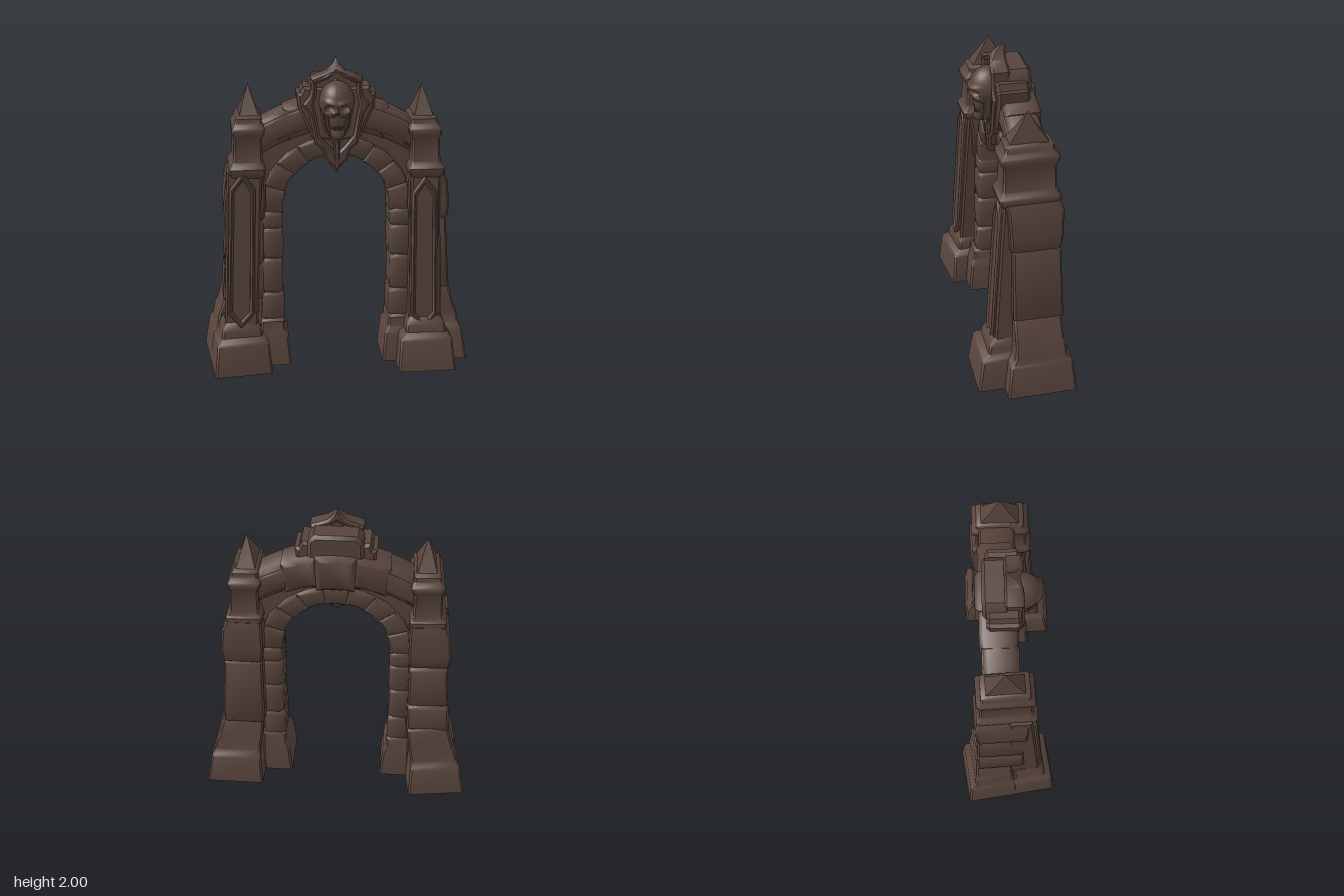
import * as THREE from 'three';
import { toCreasedNormals } from 'three/addons/utils/BufferGeometryUtils.js';

const stone = new THREE.MeshStandardMaterial({ color: 0x58443c, side: THREE.DoubleSide });
stone.name = 'dark stone';

function add(group, name, geo, crease = 0.7) {
  const mesh = new THREE.Mesh(toCreasedNormals(geo, crease), stone);
  mesh.name = name;
  group.add(mesh);
  return mesh;
}

// Skin over chamfered rectangles; each ring is [y, x0, x1, z0, z1]
function loft(rings, { side = 1, chamfer = 0.012, yaw = 0, lift = 0, open = false } = {}) {
  const pos = [], idx = [], n = 8;
  for (const [y, xa, xb, z0, z1] of rings) {
    const x0 = Math.min(side * xa, side * xb), x1 = Math.max(side * xa, side * xb);
    const c = Math.min(chamfer, (x1 - x0) / 4, (z1 - z0) / 4);
    const pts = [[x1, z0 + c], [x1, z1 - c], [x1 - c, z1], [x0 + c, z1],
      [x0, z1 - c], [x0, z0 + c], [x0 + c, z0], [x1 - c, z0]];
    for (const [x, z] of pts) pos.push(x, y + lift * Math.min(1, y), z);
  }
  for (let i = 0; i < rings.length - 1; i++) for (let j = 0; j < n; j++) {
    const a = i * n + j, b = i * n + (j + 1) % n;
    idx.push(a, a + n, b, b, a + n, b + n);
  }
  const top = (rings.length - 1) * n;
  for (let j = 1; j < n - 1; j++) {
    idx.push(top, top + j + 1, top + j);
    if (!open) idx.push(0, j, j + 1);
  }
  const g = new THREE.BufferGeometry();
  g.setAttribute('position', new THREE.Float32BufferAttribute(pos, 3));
  g.setIndex(idx);
  if (yaw) {
    const [, xa, xb, z0, z1] = rings[0];
    const cx = side * (xa + xb) / 2, cz = (z0 + z1) / 2;
    g.translate(-cx, 0, -cz).rotateY(yaw).translate(cx, 0, cz);
  }
  return g;
}

// Bevelled slab from an outline in x, y between two depths
function slab(points, z0, z1, bevel = 0.012, hole) {
  const shape = new THREE.Shape(points.map(p => new THREE.Vector2(...p)));
  if (hole) shape.holes.push(new THREE.Path(hole.map(p => new THREE.Vector2(...p))));
  return new THREE.ExtrudeGeometry(shape, {
    depth: z1 - z0 - 2 * bevel, bevelEnabled: bevel > 0, bevelThickness: bevel,
    bevelSize: bevel, bevelOffset: -bevel, bevelSegments: 1,
  }).translate(0, 0, z0 + bevel);
}

// Closed outline from its right half, listed top to bottom
const mirrored = half => [...half, ...half.filter(p => p[0] > 0).reverse().map(([x, y]) => [-x, y])].reverse();

function makePillar(side) {
  const g = new THREE.Group(), left = side < 0;
  g.name = side > 0 ? 'leftPillar' : 'rightPillar';
  const yaw = left ? 0.13 : 0, turn = left ? 0.04 : 0, lift = left ? 0.02 : 0;

  // Rear plinth, stepped in above a ledge
  const dr = left ? -0.012 : 0, dz = left ? -0.02 : 0;
  add(g, 'rearBase', loft([[0, 0.485, 0.858, -0.283, 0.155], [0.2, 0.495, 0.825, -0.262, 0.13],
    [0.215, 0.5, 0.815, -0.25, 0.12], [0.245, 0.5, 0.803, -0.23, 0.1], [0.32, 0.49, 0.79, -0.222, 0.09],
    [0.345, 0.485, 0.775, -0.213, 0.09], [0.49, 0.47, 0.735, -0.203, 0.09], [0.505, 0.48, 0.72, -0.19, 0.08],
  ].map(([y, a, b, c, d]) => [y, a + dr, b + dr, c + dz, d + dz * 4]), { side, yaw, open: true }));
  // One shaft is a single block, the other stacked stones
  const joints = left ? [0.44, 0.68, 0.98] : [0.48, 0.98];
  const half = y => 0.735 - (y - 0.48) * 0.072;
  for (let i = 0; i < joints.length - 1; i++) {
    const a = joints[i], b = joints[i + 1];
    const ring = (y, k) => [y, 0.46 + k, half(y) - k, -0.218 + (y - 0.48) * 0.04 + k, 0.095 - k];
    add(g, 'rearShaft', loft([ring(a, 0.015), ring(a + 0.02, 0), ring(b - 0.02, 0), ring(b, 0.015)],
      { side, yaw: turn }));
  }
  add(g, 'shoulderBlock', loft([[0.96, 0.46, 0.69, -0.18, 0.09], [0.985, 0.46, 0.71, -0.2, 0.11],
    [1.06, 0.45, 0.715, -0.205, 0.11], [1.22, 0.45, 0.698, -0.212, 0.12], [1.3, 0.46, 0.66, -0.185, 0.14]],
  { side, yaw: turn, lift }));

  // Belted upper block and its cornice
  add(g, 'upperBlock', loft([[1.25, 0.47, 0.65, -0.17, 0.14], [1.28, 0.447, 0.672, -0.197, 0.165],
    [1.31, 0.447, 0.672, -0.197, 0.168], [1.32, 0.452, 0.665, -0.188, 0.16], [1.35, 0.466, 0.645, -0.178, 0.143],
    [1.5, 0.466, 0.638, -0.173, 0.137], [1.525, 0.452, 0.648, -0.19, 0.152], [1.555, 0.447, 0.648, -0.192, 0.152],
    [1.565, 0.45, 0.643, -0.185, 0.147], [1.59, 0.463, 0.63, -0.165, 0.127],
    [1.62, 0.463, 0.622, -0.163, 0.123], [1.635, 0.475, 0.608, -0.14, 0.1]], { side, yaw: turn, lift }));
  add(g, 'spire', loft([[1.62, 0.478, 0.602, -0.145, 0.105], [1.71, 0.507, 0.575, -0.08, 0.04],
    [1.81, 0.539, 0.541, -0.021, -0.019]], { side, yaw: turn, lift, chamfer: 0 }), 0.3);

  // Front buttress on its own plinth
  const dx = left ? 0.055 : 0, df = left ? -0.03 : 0;
  add(g, 'frontBase', loft([[0, 0.385, 0.755, 0.0, 0.322], [0.2, 0.4, 0.732, 0.01, 0.29],
    [0.215, 0.41, 0.722, 0.01, 0.28], [0.24, 0.437, 0.7, 0.02, 0.245],
    [0.29, 0.443, 0.69, 0.02, 0.235], [0.335, 0.465, 0.665, 0.02, 0.205],
  ].map(([y, a, b, c, d]) => [y, a + dx, b + dx, c, d + df * (1 - y * 2)]), { side, yaw, open: true }));
  add(g, 'buttress', loft([[0.3, 0.46 + dx, 0.67 + dx, 0, 0.2], [1.29, 0.465, 0.645 + dx * 0.7, 0, 0.138]],
    { side, yaw: turn, lift }));

  // Pointed panel: sloping rim around a sunken blade
  const hex = inset => mirrored([[0, 0.51 - inset * 1.8], [0.08 - inset, 0.4 - inset * 0.6],
    [0.085 - inset, -0.41 + inset * 0.6], [0, -0.51 + inset * 1.8]]);
  const panel = new THREE.Group();
  panel.name = 'panel';
  add(panel, 'panelRim', slab(hex(0), -0.03, 0.022, 0.012, hex(0.03)));
  add(panel, 'panelBlade', slab(hex(0.016), -0.03, 0.011, 0.014));
  panel.position.set(left ? -0.602 : 0.552, left ? 0.805 : 0.755, 0.171);
  panel.rotation.set(-0.062, turn, left ? -0.035 : 0.008);
  g.add(panel);
  return g;
}

function makeArch() {
  const g = new THREE.Group();
  g.name = 'arch';
  const crown = x => 1.745 - 0.62 * x * x;
  const cuts = [0, 0.08, 0.16, 0.24, 0.32, 0.4, 0.5];
  // Curved block following the crown between two x positions
  const block = (xa, xb, drop, rise) => {
    const xs = [0, 1, 2, 3, 4].map(i => xa + (xb - xa) * i / 4);
    return [...xs.map(x => [x, crown(x) + rise]), ...xs.reverse().map(x => [x * 0.92, crown(x) - drop])];
  };
  for (const side of [1, -1]) {
    add(g, 'innerBase', loft([[0.01, 0.298, 0.49, -0.15, 0.172], [0.2, 0.315, 0.49, -0.14, 0.155],
      [0.24, 0.335, 0.49, -0.125, 0.135], [0.3, 0.338, 0.49, -0.12, 0.13], [0.315, 0.35, 0.49, -0.11, 0.115]],
    { side, open: true }));
    // Stacked jamb stones
    const joints = [0.3, 0.49, 0.72, 0.92, 1.03];
    for (let i = 0; i < 4; i++) {
      const a = joints[i], b = joints[i + 1], k = (i % 2) * 0.006, m = i === 3 ? 0.006 : 0;
      const front = 0.108 - i * 0.008;
      const ring = (y, e) => [y, 0.338 + k - m + e, 0.48 - e / 2, -0.114 - m + e, front + m - e];
      add(g, 'jambStone', loft([ring(a, 0.012), ring(a + 0.02, 0), ring(b - 0.02, 0), ring(b, 0.012)],
        { side, chamfer: 0.02 }), 0.9);
    }
    // Outer arch band and the thinner web below it
    const web = [];
    for (let i = 0; i <= 10; i++) {
      const t = Math.PI / 2 * i / 10;
      web.push([side * 0.455 * Math.cos(t), 1.08 + 0.38 * Math.sin(t)]);
    }
    web.push([0, 1.68], [side * 0.25, 1.62], [side * 0.49, 1.5], [side * 0.49, 1.08]);
    add(g, 'archWeb', slab(web, -0.085, 0.03, 0));
    for (const [u, v, z0, z1, bevel] of [[0, 0.2, -0.142, 0.06, 0.025], [0.035, 0.165, -0.15, 0.068, 0.008]]) {
      const pts = [...cuts.map(x => [side * x, crown(x) - u]),
        ...cuts.slice().reverse().map(x => [side * x, crown(x) - v - 0.05 * x * x])];
      add(g, 'archBand', slab(pts, z0, z1, bevel), 0.9);
    }
    // Slightly proud band stone beside the crown
    add(g, 'bandStone', slab(block(side * 0.11, side * 0.33, 0.2, 0.006), -0.162, 0.06, 0.025), 0.9);
  }
  add(g, 'crownStone', slab(block(-0.125, 0.125, 0.22, 0.012), -0.18, 0.06, 0.025), 0.9);
  // Ring of wedge stones
  const count = 9, at = (t, rx, ry) => [rx * Math.cos(t), 1.02 + ry * Math.abs(Math.sin(t)) ** 0.92];
  for (let i = 0; i < count; i++) {
    const a = Math.PI * i / count, b = Math.PI * (i + 1) / count, m = (a + b) / 2, k = (i % 2) * 0.006;
    const front = 0.085 - 0.025 * Math.sin(m);
    add(g, 'wedgeStone', slab([at(a, 0.338 + k, 0.362 + k), at(a, 0.478, 0.48), at(m, 0.485, 0.485),
      at(b, 0.478, 0.48), at(b, 0.338 + k, 0.362 + k), at(m, 0.342 + k, 0.366 + k)], -0.112, front, 0.012), 0.9);
  }
  return g;
}

function makeSkull() {
  const g = new THREE.Group();
  g.name = 'skull';
  // Head with narrowing face, sockets, nose hollow and brow pushed by rule
  const head = new THREE.SphereGeometry(1, 64, 52);
  const p = head.attributes.position;
  const bump = (x, y, cx, cy, rx, ry) => Math.exp(-((((x - cx) / rx) ** 2 + ((y - cy) / ry) ** 2) ** 2));
  for (let i = 0; i < p.count; i++) {
    let x = p.getX(i) * 0.108, y = p.getY(i) * 0.13, z = p.getZ(i) * 0.12;
    if (y < -0.02) x *= 1 - 2.2 * (-y - 0.02);
    if (z > 0) {
      const ax = Math.abs(x);
      z += 0.014 * bump(ax, y, 0.042, 0.002 + ax * 0.2, 0.05, 0.016);
      z += 0.016 * bump(ax, y, 0.066, -0.062, 0.024, 0.018) + 0.012 * bump(ax, y, 0, -0.035, 0.012, 0.03);
      z -= 0.055 * bump(ax, y, 0.042, -0.026, 0.028, 0.021) + 0.045 * bump(ax, y, 0.007, -0.075, 0.011, 0.018);
    }
    p.setXYZ(i, x, y, z);
  }
  add(g, 'cranium', head, 1.1).position.set(0, 1.73, 0.088);
  add(g, 'upperJaw', loft([[1.592, -0.04, 0.04, 0.08, 0.177], [1.62, -0.05, 0.05, 0.08, 0.184],
    [1.65, -0.056, 0.056, 0.08, 0.18]], { chamfer: 0.028 }), 1);
  add(g, 'lowerJaw', loft([[1.515, -0.024, 0.024, 0.08, 0.178], [1.535, -0.04, 0.04, 0.07, 0.184],
    [1.575, -0.046, 0.046, 0.07, 0.172]], { chamfer: 0.024 }), 1);
  for (const s of [1, -1]) {
    add(g, 'jawSide', loft([[1.53, 0.03, 0.052, 0.07, 0.14], [1.58, 0.045, 0.067, 0.06, 0.14],
      [1.67, 0.058, 0.082, 0.06, 0.13]], { side: s }));
    for (let i = 0; i < 3; i++) for (const y of [1.594, 1.577]) {
      add(g, 'tooth', new THREE.CylinderGeometry(0.006, 0.006, 0.016, 6))
        .position.set(s * (0.0065 + i * 0.0125), y, 0.175 - i * i * 0.005);
    }
  }
  return g;
}

function makeCrest() {
  const g = new THREE.Group();
  g.name = 'crest';
  // Stepped backing stones
  add(g, 'crestWings', slab(mirrored([[0, 1.82], [0.16, 1.82], [0.205, 1.825], [0.22, 1.785], [0.245, 1.78],
    [0.235, 1.69], [0.2, 1.62], [0.15, 1.5], [0, 1.47]]), -0.115, 0.085, 0.018));
  add(g, 'crestTop', slab(mirrored([[0, 1.88], [0.13, 1.88], [0.165, 1.84], [0.17, 1.7], [0, 1.68]]), -0.138, 0.02, 0.02));
  add(g, 'keystone', loft([[1.31, -0.03, 0.03, -0.03, 0.06], [1.36, -0.06, 0.06, -0.08, 0.075],
    [1.5, -0.1, 0.1, -0.11, 0.08]], { chamfer: 0.02 }));

  // Scalloped shield whose peak sweeps backwards
  const outline = mirrored([[0, 2], [0.022, 1.955], [0.06, 1.915], [0.16, 1.878], [0.155, 1.82], [0.165, 1.77],
    [0.207, 1.715], [0.17, 1.66], [0.15, 1.57], [0.135, 1.47], [0.085, 1.43], [0.065, 1.36], [0.025, 1.33], [0, 1.278]]);
  const inner = mirrored([[0, 1.91], [0.05, 1.875], [0.125, 1.845], [0.122, 1.79], [0.14, 1.715],
    [0.125, 1.64], [0.105, 1.52], [0.06, 1.465], [0, 1.4]]);
  const sweep = geo => {
    const p = geo.attributes.position;
    for (let i = 0; i < p.count; i++) {
      const k = Math.max(0, (p.getY(i) - 1.86) / 0.14);
      if (p.getZ(i) > 0) p.setZ(i, p.getZ(i) * (1 - 0.95 * k * k));
    }
    return geo;
  };
  add(g, 'shieldRim', sweep(slab(outline, -0.01, 0.105, 0.014, inner)));
  add(g, 'shieldField', slab(inner, -0.01, 0.07, 0));
  add(g, 'shieldLeaf', slab(mirrored([[0, 1.87], [0.1, 1.8], [0.115, 1.71], [0.09, 1.56],
    [0.05, 1.5], [0, 1.43]]), 0.05, 0.095, 0.02));
  add(g, 'pendant', loft([[1.3, -0.003, 0.003, 0.085, 0.09], [1.38, -0.022, 0.022, 0.05, 0.112],
    [1.47, -0.016, 0.016, 0.05, 0.114], [1.52, -0.005, 0.005, 0.08, 0.1]], { chamfer: 0.03 }));
  g.add(makeSkull());
  return g;
}

export function createModel() {
  const model = new THREE.Group();
  model.name = 'stoneGateway';
  model.add(makePillar(1), makePillar(-1), makeArch(), makeCrest());
  return model;
}
